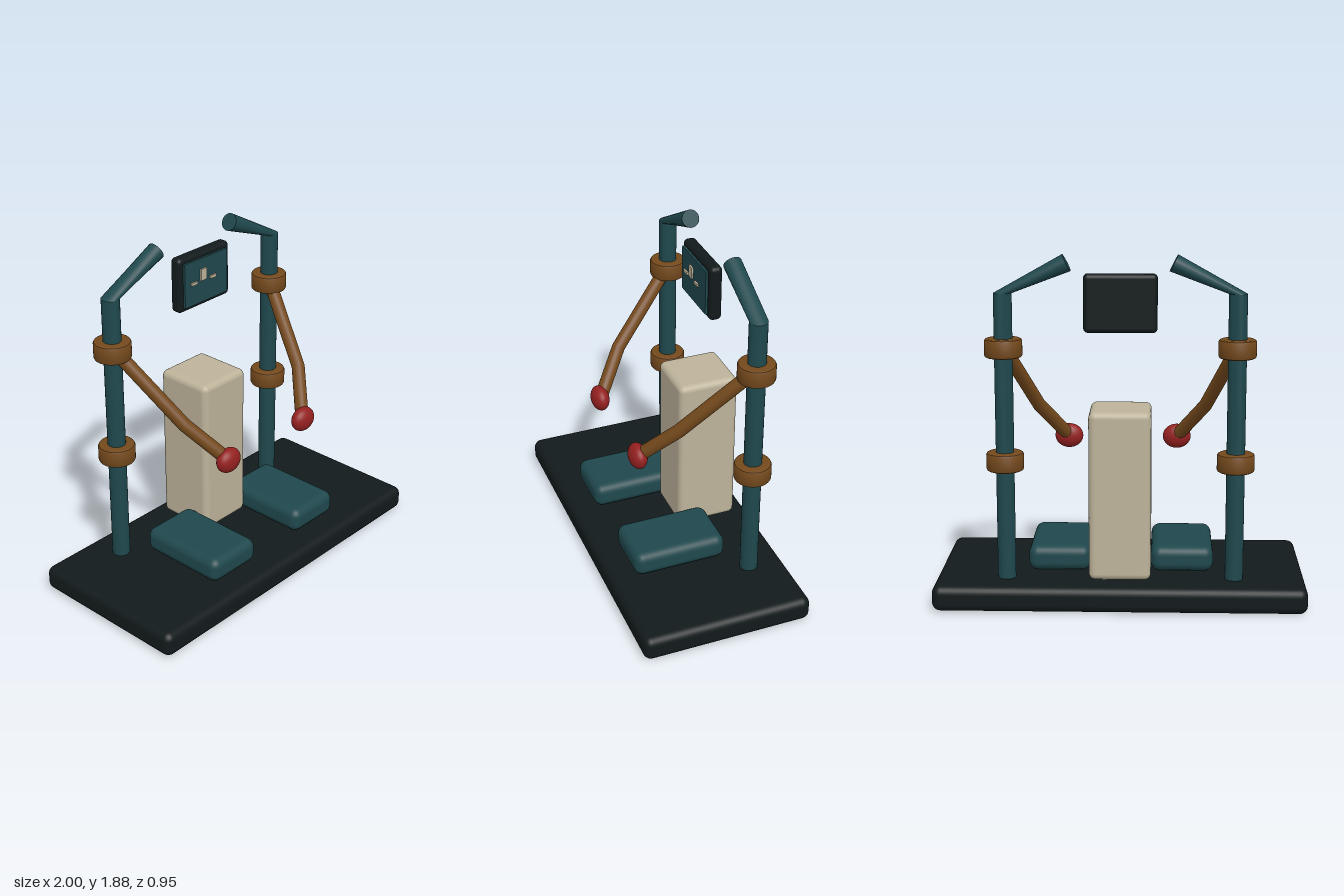
import * as THREE from 'three';
import { toCreasedNormals } from 'three/addons/utils/BufferGeometryUtils.js';
import { RoundedBoxGeometry } from 'three/addons/geometries/RoundedBoxGeometry.js';

const mat = (color) => new THREE.MeshStandardMaterial({ color });
const V = (x, y, z) => new THREE.Vector3(x, y, z);

// Capped tube whose rings sit at the given centres, each facing its own normal
function loft(points, normals, radius, sides = 24) {
  const pos = [], idx = [];
  points.forEach((p, k) => {
    const n = normals[k].clone().normalize();
    const u = V(0, 0, 1).addScaledVector(n, -n.z).normalize();
    const v = n.clone().cross(u);
    for (let i = 0; i < sides; i++) {
      const a = (i / sides) * Math.PI * 2;
      const q = p.clone().addScaledVector(u, Math.cos(a) * radius).addScaledVector(v, Math.sin(a) * radius);
      pos.push(q.x, q.y, q.z);
    }
  });
  const last = (points.length - 1) * sides, c0 = points.length * sides;
  for (const p of [points[0], points[points.length - 1]]) pos.push(p.x, p.y, p.z);
  for (let i = 0; i < sides; i++) {
    const j = (i + 1) % sides;
    for (let k = 0; k < last; k += sides) {
      idx.push(k + i, k + j, k + sides + i, k + j, k + sides + j, k + sides + i);
    }
    idx.push(c0, j, i, c0 + 1, last + i, last + j);
  }
  const g = new THREE.BufferGeometry();
  g.setAttribute('position', new THREE.Float32BufferAttribute(pos, 3));
  g.setIndex(idx);
  return toCreasedNormals(g, 0.5);
}

// Ring clamp with softened edges around a post
function collarGeometry() {
  const profile = [
    [0.045, -0.05], [0.088, -0.05], [0.096, -0.046], [0.1, -0.038],
    [0.1, 0.038], [0.096, 0.046], [0.088, 0.05], [0.045, 0.05],
  ].map(([r, y]) => new THREE.Vector2(r, y));
  return toCreasedNormals(new THREE.LatheGeometry(profile, 40), 0.6);
}

export function createModel() {
  const root = new THREE.Group();
  const dark = mat(0x121a1b), teal = mat(0x1f484d), brown = mat(0x74491c);
  const cream = mat(0xbdb39a), red = mat(0x942020);

  const add = (name, geometry, material, x = 0, y = 0, z = 0) => {
    const m = new THREE.Mesh(geometry, material);
    m.name = name;
    m.position.set(x, y, z);
    root.add(m);
    return m;
  };
  const rbox = (w, h, d, r) => new RoundedBoxGeometry(w, h, d, 4, r);

  // Platform and backrest
  add('base', rbox(2, 0.14, 0.95, 0.045), dark, 0, 0.07, 0);
  add('backrest', rbox(0.33, 0.915, 0.34, 0.035), cream, 0, 0.6125, -0.215);

  // Display with its panel and indicator marks
  add('displayCase', rbox(0.39, 0.31, 0.07, 0.025), dark, 0, 1.625, -0.23);
  add('displayPanel', new THREE.BoxGeometry(0.325, 0.25, 0.016), teal, -0.003, 1.625, -0.19);
  for (const [x, y, w, h] of [[-0.1, 1.626, 0.045, 0.016], [-0.03, 1.66, 0.042, 0.065], [0.045, 1.626, 0.045, 0.016]]) {
    add('displayMark', new THREE.BoxGeometry(w, h, 0.012), cream, x, y, -0.178);
  }

  for (const [side, s] of [['left', 1], ['right', -1]]) {
    const px = 0.613 * s, pz = -0.275;

    // Foot pad
    add(side + 'FootPad', rbox(0.34, 0.14, 0.525, 0.05), teal, 0.335 * s, 0.21, 0.077);

    // Upright post bending into an inward handle
    add(side + 'Post', loft(
      [V(px, 0.12, pz), V(px, 1.682, pz), V(0.278 * s, 1.841, pz)],
      [V(0, 1, 0), V(0, 1, 0), V(-0.335 * s, 0.17, 0)], 0.049), teal);

    // Clamps on the post
    for (const y of [0.785, 1.395]) add(side + 'Collar', collarGeometry(), brown, px, y, pz);

    // Bent swing arm
    const pts = [V(px, 1.4, pz), V(0.46 * s, 1.02, 0.085), V(0.305 * s, 0.81, 0.25)];
    const d0 = pts[1].clone().sub(pts[0]).normalize();
    const d1 = pts[2].clone().sub(pts[1]).normalize();
    add(side + 'Arm', loft(pts, [d0, d0.clone().add(d1), d1], 0.037), brown);

    // Flattened grip ball
    add(side + 'Grip', new THREE.SphereGeometry(1, 32, 20), red, 0.305 * s, 0.808, 0.255).scale.set(0.079, 0.069, 0.05);
  }
  return root;
}
